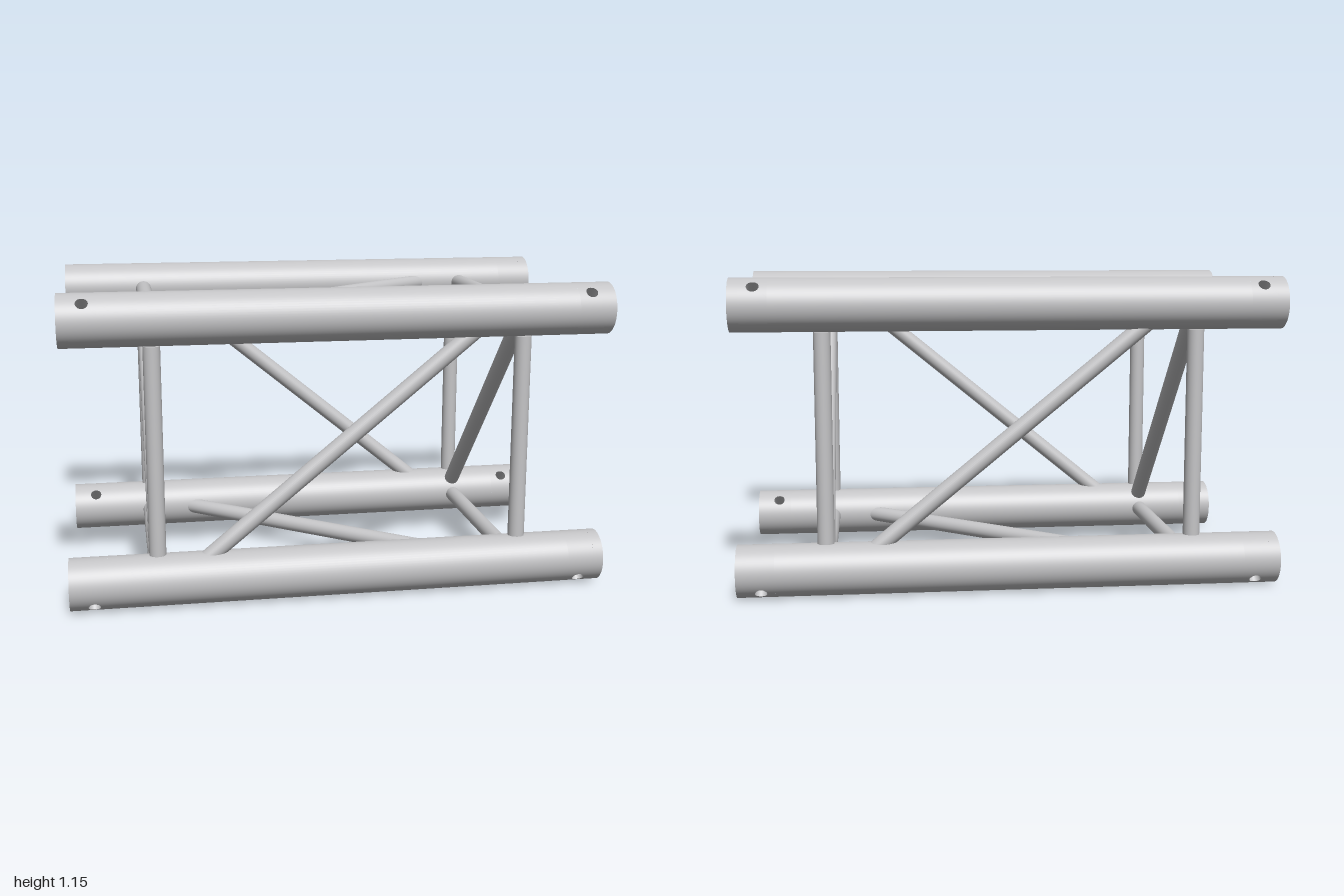
import * as THREE from 'three';
import { mergeGeometries } from 'three/addons/utils/BufferGeometryUtils.js';

const R = 0.096;          // chord radius
const STRUT_R = 0.031;    // brace radius
const MID_Y = 0.577;      // height of the truss axis
const H = 0.481;          // chord offset from the axis
const HOLE_R = 0.022, HOLE_X = 0.912, PATCH = 0.05;
const ARC = PATCH / R;    // half angle of the wall patch around a hole

// Grid of rows x cols points; fn(i, j) returns [position, normal]
function grid(rows, cols, fn) {
  const pos = [], nor = [], idx = [];
  for (let i = 0; i <= rows; i++) {
    for (let j = 0; j <= cols; j++) {
      const [p, n] = fn(i, j);
      pos.push(...p);
      nor.push(...n);
      if (i < rows && j < cols) {
        const a = i * (cols + 1) + j, d = a + cols + 1;
        idx.push(a, a + 1, d + 1, a, d + 1, d);
      }
    }
  }
  const g = new THREE.BufferGeometry();
  g.setAttribute('position', new THREE.Float32BufferAttribute(pos, 3));
  g.setAttribute('normal', new THREE.Float32BufferAttribute(nor, 3));
  g.setIndex(idx);
  return g;
}

// Piece of tube wall lying along x
function wall(x0, x1, open = true, start = 0, length = Math.PI * 2) {
  const segs = Math.round(64 * length / (Math.PI * 2));
  const g = new THREE.CylinderGeometry(R, R, x1 - x0, segs, 1, open, start, length);
  g.deleteAttribute('uv');
  return g.rotateZ(Math.PI / 2).translate((x0 + x1) / 2, 0, 0);
}

// Curved wall patch with a round hole in the +y direction
function holePatch() {
  const n = 4;
  return grid(n, 48, (i, j) => {
    const a = j / 48 * Math.PI * 2, c = Math.cos(a), s = Math.sin(a);
    const k = THREE.MathUtils.lerp(HOLE_R, PATCH / Math.max(Math.abs(c), Math.abs(s)), i / n);
    const t = k * s / R;
    return [[k * c, R * Math.cos(t), R * Math.sin(t)], [0, Math.cos(t), Math.sin(t)]];
  });
}

// Inside of the bolt hole, running right through the tube
function holeTunnel() {
  return grid(1, 48, (i, j) => {
    const a = j / 48 * Math.PI * 2, c = Math.cos(a), s = Math.sin(a);
    const t = HOLE_R * s / R;
    return [[HOLE_R * c, (i ? 1 : -1) * R * Math.cos(t), R * Math.sin(t)], [-c, 0, -s]];
  });
}

// Capped main tube with a through hole near each end
function chordGeometry() {
  const inner = HOLE_X - PATCH, outer = HOLE_X + PATCH;
  const parts = [wall(-inner, inner), wall(-1, -outer, false), wall(outer, 1, false)];
  for (const side of [-1, 1]) {
    const x0 = side * HOLE_X - PATCH, x1 = side * HOLE_X + PATCH;
    for (const start of [-Math.PI / 2, Math.PI / 2]) {
      parts.push(wall(x0, x1, true, start + ARC, Math.PI - 2 * ARC));
    }
    parts.push(
      holePatch().translate(side * HOLE_X, 0, 0),
      holePatch().rotateX(Math.PI).translate(side * HOLE_X, 0, 0),
      holeTunnel().translate(side * HOLE_X, 0, 0)
    );
  }
  return mergeGeometries(parts);
}

export function createModel() {
  const group = new THREE.Group();
  const aluminium = new THREE.MeshStandardMaterial({ color: 0xc4c4c6 });
  aluminium.name = 'aluminium';

  // Straight brace between two points, measured from the truss axis
  function strut(name, a, b) {
    const p = new THREE.Vector3(...a), q = new THREE.Vector3(...b);
    const dir = q.clone().sub(p);
    const mesh = new THREE.Mesh(
      new THREE.CylinderGeometry(STRUT_R, STRUT_R, dir.length(), 32), aluminium);
    mesh.quaternion.setFromUnitVectors(new THREE.Vector3(0, 1, 0), dir.normalize());
    mesh.position.copy(p).add(q).multiplyScalar(0.5);
    mesh.position.y += MID_Y;
    mesh.name = name;
    group.add(mesh);
  }

  // Four main chords, bolt holes pointing diagonally outward
  const chord = chordGeometry();
  for (const sy of [-1, 1]) {
    for (const sz of [-1, 1]) {
      const mesh = new THREE.Mesh(chord, aluminium);
      mesh.name = (sy > 0 ? 'top' : 'bottom') + (sz > 0 ? 'Front' : 'Back') + 'Chord';
      mesh.position.set(0, MID_Y + sy * H, sz * H);
      mesh.rotation.x = sy * sz * Math.PI / 4;
      group.add(mesh);
    }
  }

  const e = H - R;                    // straight braces touch the chord walls
  const c = H - R * Math.SQRT1_2;     // corner braces touch the inner corners
  const dx = 0.5, d = 0.41;           // ends of the long face diagonals
  for (const s of [-1, 1]) {
    for (const x of [-0.68, 0.68]) {
      strut('uprightBrace', [x, -e, s * H], [x, e, s * H]);
      strut('crossBrace', [x, s * H, -e], [x, s * H, e]);
    }
    // Corner to corner brace at each end
    strut('cornerBrace', [s * 0.68, c, s * c], [s * 0.68, -c, -s * c]);
    // Long diagonals on the four faces
    strut('sideDiagonal', [-dx, -s * d, s * H], [dx, s * d, s * H]);
    strut('levelDiagonal', [-dx, s * H, s * d], [dx, s * H, -s * d]);
  }
  return group;
}
